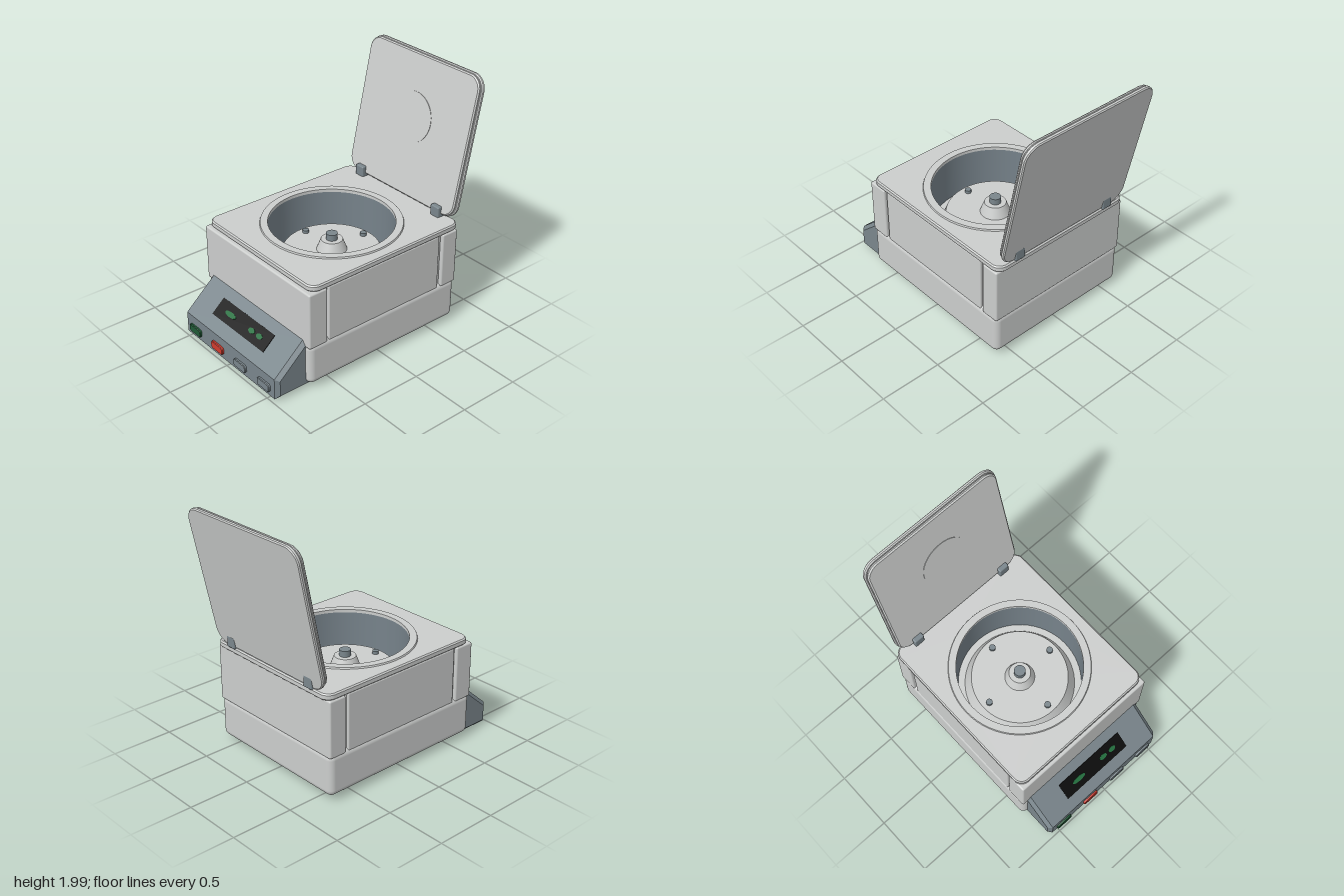
import * as THREE from 'three';
import { toCreasedNormals } from 'three/addons/utils/BufferGeometryUtils.js';
import { RoundedBoxGeometry } from 'three/addons/geometries/RoundedBoxGeometry.js';

const mat = (name, color, side = THREE.FrontSide) => {
  const m = new THREE.MeshStandardMaterial({ color, side });
  m.name = name;
  return m;
};

const WELL_Z = -0.02; // centre of the round chamber

// Rounded rectangle centred on (0, cy)
function roundedRect(w, h, r, cy = 0) {
  const s = new THREE.Shape(), x = w / 2, b = cy - h / 2, t = cy + h / 2;
  s.moveTo(-x + r, b);
  s.lineTo(x - r, b);
  s.absarc(x - r, b + r, r, -Math.PI / 2, 0);
  s.absarc(x - r, t - r, r, 0, Math.PI / 2);
  s.absarc(-x + r, t - r, r, Math.PI / 2, Math.PI);
  s.absarc(-x + r, b + r, r, Math.PI, Math.PI * 1.5);
  return s;
}

// Extrusion of exact total thickness, from z = 0, with bevelled edges
function slab(shape, thick, bevel) {
  const g = new THREE.ExtrudeGeometry(shape, {
    depth: thick - 2 * bevel, bevelEnabled: bevel > 0, bevelThickness: bevel,
    bevelSize: bevel, bevelOffset: -bevel, bevelSegments: 1, curveSegments: 16,
  });
  g.translate(0, 0, bevel);
  return toCreasedNormals(g, 0.5);
}

// Horizontal slab with a round opening over the chamber
function piercedSlab(w, z0, z1, r, holeR, y0, y1, bevel) {
  const shape = roundedRect(w, z1 - z0, r, -(z0 + z1) / 2);
  const hole = new THREE.Path();
  hole.absarc(0, -WELL_Z, holeR, 0, Math.PI * 2, true);
  hole.curves[0].aClockwise = true;
  shape.holes.push(hole);
  const g = new THREE.ExtrudeGeometry(shape, {
    depth: y1 - y0 - 2 * bevel, bevelEnabled: bevel > 0, bevelThickness: bevel,
    bevelSize: bevel, bevelOffset: -bevel, bevelSegments: 1, curveSegments: 32,
  });
  g.translate(0, 0, y0 + bevel);
  g.rotateX(-Math.PI / 2);
  return toCreasedNormals(g, 0.5);
}

export function createModel() {
  const root = new THREE.Group();
  root.name = 'laboratoryCentrifuge';
  const shell = mat('lightGrey', 0xcccecd);
  const steel = mat('slateGrey', 0x7a868c);
  const bowlMat = mat('chamberGrey', 0x76828a, THREE.DoubleSide);
  const black = mat('black', 0x0c0c0c);
  const green = mat('green', 0x1f5a36);
  const red = mat('red', 0xd03c2e);
  const glow = mat('displayGreen', 0x24703f);

  const add = (name, geo, m, x = 0, y = 0, z = 0, parent = root) => {
    const mesh = new THREE.Mesh(geo, m);
    mesh.name = name;
    mesh.position.set(x, y, z);
    parent.add(mesh);
    return mesh;
  };
  // Rounded block given by its limits, centred on x unless shifted
  const block = (name, w, y0, y1, z0, z1, r, m, x = 0, seg = 2) =>
    add(name, new RoundedBoxGeometry(w, y1 - y0, z1 - z0, seg, r), m, x, (y0 + y1) / 2, (z0 + z1) / 2);

  // Base and feet
  block('base', 1.27, 0.04, 0.385, -0.735, 0.71, 0.05, shell, 0, 5);
  for (const x of [-0.48, 0.48])
    for (const z of [-0.565, 0.595])
      add('foot', new THREE.CylinderGeometry(0.055, 0.055, 0.05, 24), black, x, 0.025, z);

  // Housing: hollow core, end blocks and side panels with grooves between
  add('housingCore', piercedSlab(1.21, -0.62, 0.6, 0.01, 0.5, 0.37, 0.83, 0), shell);
  block('frontHousing', 1.27, 0.36, 0.82, 0.545, 0.71, 0.014, shell);
  block('rearHousing', 1.27, 0.36, 0.82, -0.735, -0.585, 0.014, shell);
  for (const s of [-1, 1])
    block('sidePanel', 0.06, 0.36, 0.82, -0.555, 0.525, 0.01, shell, s * 0.597);

  // Top deck with raised rim
  add('topDeck', piercedSlab(1.27, -0.76, 0.685, 0.08, 0.495, 0.822, 0.873, 0.01), shell);
  const rim = [[0.488, 0.86], [0.488, 0.885], [0.545, 0.885], [0.55, 0.872]]
    .reverse().map(p => new THREE.Vector2(...p));
  add('chamberRim', toCreasedNormals(new THREE.LatheGeometry(rim, 64), 0.5),
    mat('rimGrey', 0xcccecd, THREE.DoubleSide), 0, 0, WELL_Z);

  // Chamber and rotor
  add('chamberWall', new THREE.CylinderGeometry(0.489, 0.489, 0.4, 64, 1, true), bowlMat, 0, 0.68, WELL_Z);
  add('chamberFloor', new THREE.CylinderGeometry(0.489, 0.489, 0.02, 64), shell, 0, 0.49, WELL_Z);
  add('rotor', new THREE.CylinderGeometry(0.38, 0.435, 0.13, 64), shell, 0, 0.565, WELL_Z);
  add('rotorHub', new THREE.CylinderGeometry(0.085, 0.118, 0.09, 40), shell, 0, 0.675, WELL_Z);
  add('spindle', new THREE.CylinderGeometry(0.045, 0.045, 0.06, 32), steel, 0, 0.74, WELL_Z);
  for (let i = 0; i < 4; i++) {
    const a = i * Math.PI / 2;
    add('rotorPin', new THREE.CylinderGeometry(0.025, 0.025, 0.03, 20), steel,
      0.32 * Math.cos(a), 0.64, WELL_Z + 0.32 * Math.sin(a));
  }

  // Open lid leaning back, with hinges
  const lid = new THREE.Group();
  lid.name = 'lid';
  lid.position.set(0, 0.88, -0.725);
  lid.rotation.x = -12 * Math.PI / 180;
  root.add(lid);
  add('lidShell', slab(roundedRect(1.21, 1.14, 0.12, 0.57), 0.032, 0.008), shell, 0, 0, -0.03, lid);
  add('lidLiner', slab(roundedRect(1.19, 1.12, 0.11, 0.57), 0.03, 0.01), shell, 0, 0, 0, lid);
  const port = add('lidPort', new THREE.CylinderGeometry(0.202, 0.202, 0.008, 48), shell, 0, 0.635, 0.03, lid);
  port.rotation.x = Math.PI / 2;
  for (const s of [-1, 1])
    block('hinge', 0.088, 0.865, 0.958, -0.772, -0.672, 0.01, steel, s * 0.437);

  // Wedge control console
  const profile = new THREE.Shape(
    [[0.6, 0.008], [0.972, 0.008], [0.972, 0.18], [0.71, 0.41], [0.6, 0.41]].map(p => new THREE.Vector2(...p)));
  const consoleGeo = slab(profile, 1.17, 0.03);
  consoleGeo.translate(0, 0, -0.585);
  consoleGeo.rotateY(-Math.PI / 2);
  add('console', consoleGeo, steel);

  // Display on the sloped face
  const face = new THREE.Group();
  face.name = 'display';
  face.position.set(0, 0.3, 0.8353);
  face.rotation.x = -Math.atan2(0.262, 0.23);
  root.add(face);
  add('displayScreen', new THREE.BoxGeometry(0.64, 0.15, 0.008), black, 0, 0, 0.001, face);
  for (const [x, r] of [[-0.155, 0.065], [0.11, 0.036], [0.205, 0.034]]) {
    const dot = add('displayMark', new THREE.CylinderGeometry(1, 1, 0.004, 24), glow, x, 0, 0.006, face);
    dot.rotation.x = Math.PI / 2;
    dot.scale.set(r, 1, 0.02);
  }

  // Row of push buttons
  [green, red, steel, steel].forEach((m, i) =>
    add('button', slab(roundedRect(0.146, 0.066, 0.022), 0.03, 0.005), m, -0.435 + i * 0.29, 0.075, 0.96));

  return root;
}
